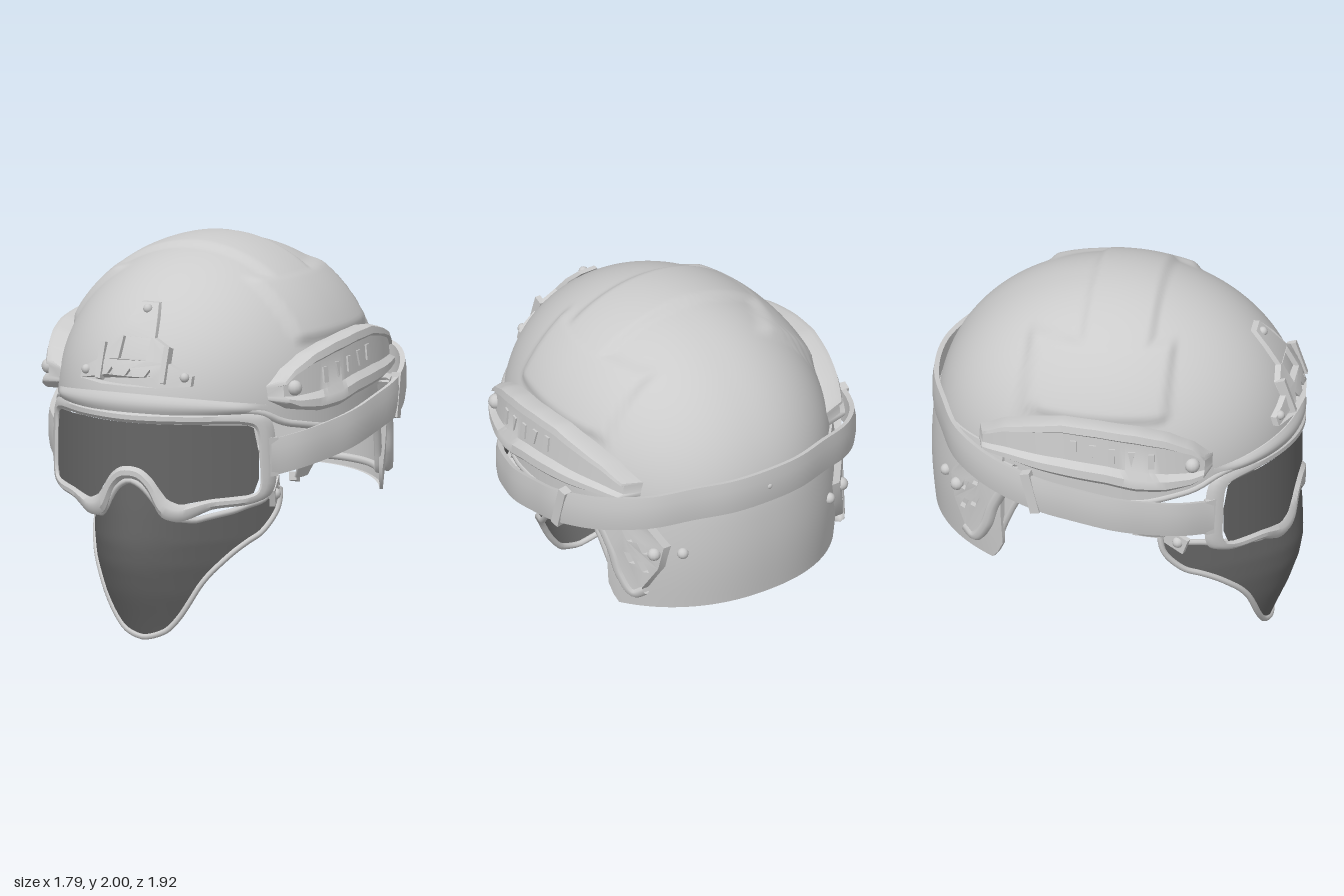
import * as THREE from 'three';
import { toCreasedNormals } from 'three/addons/utils/BufferGeometryUtils.js';

const GREY = new THREE.MeshStandardMaterial({ color: 0xcccccc, side: THREE.DoubleSide });
const DARK = new THREE.MeshStandardMaterial({ color: 0x666666, side: THREE.DoubleSide });
const V = (x, y, z) => new THREE.Vector3(x, y, z);
const RAD = Math.PI / 180;
const { lerp, smoothstep: step } = THREE.MathUtils;

// piecewise-linear lookup in [[key, value], ...]
function table(rows, k) {
  for (let i = 1; i < rows.length; i++) {
    const [a, p] = rows[i - 1], [b, q] = rows[i];
    if (k <= b) return p + (q - p) * Math.max(0, (k - a) / (b - a));
  }
  return rows[rows.length - 1][1];
}

// surface from f(u, v), u and v in 0..1
function grid(f, nu, nv, crease = 0.7) {
  const pos = [], idx = [];
  for (let i = 0; i <= nu; i++) for (let j = 0; j <= nv; j++) pos.push(...f(i / nu, j / nv).toArray());
  for (let i = 0; i < nu; i++) for (let j = 0; j < nv; j++) {
    const a = i * (nv + 1) + j, b = a + nv + 1;
    idx.push(a, b, a + 1, b, b + 1, a + 1);
  }
  const g = new THREE.BufferGeometry();
  g.setAttribute('position', new THREE.Float32BufferAttribute(pos, 3));
  g.setIndex(idx);
  return toCreasedNormals(g, crease);
}

// helmet body: dome above y = 1.2, straight wall below; the plan is round in front and squarer behind
const A = 0.77, C = 0.93, H = 0.78, Y0 = 1.2, BACK = 2.2;
function plan(az) {
  const e = Math.cos(az) < 0 ? 2 / BACK : 1, s = Math.sin(az), c = Math.cos(az);
  return [Math.sign(s) * Math.abs(s) ** e, Math.sign(c) * Math.abs(c) ** e];
}
const planX = (z, c) => {
  const n = z < 0 ? BACK : 2;
  return Math.max(0, 1 - (Math.abs(z) / c) ** n) ** (1 / n);
};
const scaleAt = y => y > Y0 ? Math.sqrt(Math.max(0, 1 - ((y - Y0) / H) ** 2)) : 1;
function body(az, y, off = 0) {
  const r = scaleAt(y), [px, pz] = plan(az);
  return V((A + off) * r * px, y, (C + off) * r * pz);
}
const shellX = (z, y) => A * scaleAt(y) * planX(z, C * scaleAt(y));
const frontZ = (x, y) => C * Math.sqrt(Math.max(0, 1 - ((y - Y0) / H) ** 2 - (x / A) ** 2));
const EDGE = [[0, 1.22], [40, 1.22], [50, 1.2], [58, 1.14], [75, 1.09], [95, 1.1], [111, 1.12], [118, 0.95], [123, 0.74], [180, 0.72]];
const edgeY = az => table(EDGE, Math.abs(az) / RAD);

// raised plate on the body: the outer ring drops back to the shell
function pad(az0, az1, yLow, yHigh, off, nu, nv) {
  const clampRing = (t, n) => Math.min(1, Math.max(0, (t * n - 1) / (n - 2)));
  return grid((u, v) => {
    const ring = u === 0 || u === 1 || v === 0 || v === 1;
    const s = clampRing(u, nu), t = clampRing(v, nv);
    return body(lerp(az0, az1, s), lerp(yLow(s), yHigh(s), t), ring ? -0.005 : off(s, t));
  }, nu, nv);
}

// extruded outline with holes, each vertex then placed by place(a, b, depth)
function plate(points, holes, depth, place) {
  const shape = new THREE.Shape(points.map(p => new THREE.Vector2(...p)));
  for (const h of holes) shape.holes.push(new THREE.Path(h.map(p => new THREE.Vector2(...p))));
  const g = new THREE.ExtrudeGeometry(shape, { depth, bevelEnabled: false });
  const p = g.attributes.position;
  for (let i = 0; i < p.count; i++) p.setXYZ(i, ...place(p.getX(i), p.getY(i), p.getZ(i)).toArray());
  return toCreasedNormals(g, 0.6);
}

const tube = (pts, r, closed = false, n = 60) =>
  new THREE.TubeGeometry(new THREE.CatmullRomCurve3(pts, closed), n, r, 8, closed);
const rect = (a, b, w, h, lean = 0) => [[a - w - lean, b - h], [a + w - lean, b - h], [a + w + lean, b + h], [a - w + lean, b + h]];
const tri = (a, b, w, h) => [[a - w, b - h], [a + w, b - h], [a, b + h]];

export function createModel() {
  const group = new THREE.Group();
  const add = (name, geo, mat = GREY) => {
    const m = new THREE.Mesh(geo, mat);
    m.name = name;
    group.add(m);
    return m;
  };
  const pair = (name, geo, mat) => {
    add(name + 'Left', geo, mat);
    add(name + 'Right', geo, mat).scale.x = -1;
  };
  const bolt = (name, { x, y, z }, r = 0.03) => {
    const g = new THREE.SphereGeometry(r, 12, 8).translate(x, y, z);
    if (x) pair(name, g); else add(name, g);
  };
  const block = (w, h, d, x, y, z, rx = 0, ry = 0) =>
    new THREE.BoxGeometry(w, h, d).rotateX(rx).rotateY(ry).translate(x, y, z);

  // shell with raised crown bar and side pads
  const within = (t, a, b, s) => step(t, a - s, a) * (1 - step(t, b, b + s));
  add('shell', grid((u, v) => {
    const az = (u * 2 - 1) * Math.PI, e = edgeY(az), [px, pz] = plan(az);
    const end = e > Y0 ? Math.acos((e - Y0) / H) : Math.PI / 2 + (Y0 - e) / H;
    const phi = v * end, low = phi > Math.PI / 2;
    const r = low ? 1 : Math.sin(phi), y = low ? Y0 - (phi - Math.PI / 2) * H : Y0 + H * Math.cos(phi);
    const p = V(A * r * px, y, C * r * pz);
    const bar = within(p.z, -0.1, 0.19, 0.06) * within(Math.abs(p.x), -1, 0.54, 0.06);
    const side = within(p.z, -0.37, 0.3, 0.06) * within(p.y, 1.56, 1.8, 0.06);
    const k = Math.max(0.022 * bar, 0.025 * side);
    return p.add(V(p.x / A, (p.y - Y0) / H, p.z / C).multiplyScalar(k));
  }, 160, 80, 1.2));
  const rimPts = [];
  for (let d = -180; d < 180; d += 4) rimPts.push(body(d * RAD, edgeY(d * RAD), -0.01));
  add('shellRim', tube(rimPts, 0.02, true, 140));
  add('brim', pad(-52 * RAD, 52 * RAD, () => 1.2, s => lerp(1.24, 1.3, Math.sin(Math.PI * s)),
    (s, t) => (0.006 + 0.016 * Math.sin(Math.PI * t)) * within(s, 0.12, 0.88, 0.12), 44, 8));

  // neck guard with rounded lower corners
  add('neckGuard', pad(120 * RAD, 240 * RAD, s => lerp(0.74, lerp(0.635, 0.68, Math.sin(Math.PI * s)), within(s, 0.03, 0.97, 0.03)), () => 1.3,
    (s, t) => 0.012 + 0.02 * Math.sin(Math.PI * t), 60, 14));
  bolt('neckGuardBolt', body(148 * RAD, 1.01, 0.035));

  // side rails: ridged cross-section swept front to back, closed against the shell
  const railX = (z, y) => 0.795 * planX(z, 0.97) + (1.5 - y) * 0.09;
  const railTop = [[-0.64, 1.38], [-0.5, 1.47], [-0.35, 1.52], [-0.18, 1.56], [0, 1.555], [0.2, 1.53], [0.35, 1.49], [0.48, 1.42], [0.57, 1.33]];
  const railLow = [[-0.64, 1.3], [-0.45, 1.29], [-0.3, 1.27], [-0.1, 1.25], [0.05, 1.235], [0.2, 1.2], [0.35, 1.19], [0.48, 1.21], [0.57, 1.26]];
  const profile = [[null, 0], [0.01, 0], [0.035, 0.08], [0.035, 0.22], [0.005, 0.32], [0.005, 0.8], [0.025, 0.85], [0.02, 0.97], [-0.01, 1], [null, 0.95]];
  pair('rail', grid((u, v) => {
    const z = lerp(-0.64, 0.57, u), [d, h] = profile[Math.round(v * 9)];
    const y = lerp(table(railLow, z), table(railTop, z), h);
    return V(d === null || u === 0 || u === 1 ? shellX(z, y) - 0.005 : railX(z, y) + d, y, z);
  }, 40, 9));
  [0.28, 0.18, 0.08, -0.02, -0.12].forEach((z, i) => {
    const y = 1.365 + i * 0.015;
    pair('railSlot', plate(i % 2 ? tri(z, y, 0.018, -0.04) : rect(z, y, 0.016, 0.04), [], 0.015, (a, b, d) => V(railX(a, b) + d, b, a)));
  });
  bolt('railBolt', V(railX(0.48, 1.32) + 0.005, 1.32, 0.48), 0.04);

  // slotted plates behind the ears
  const earX = z => 0.765 * planX(z, 0.97);
  const ear = [[-0.42, 1.22], [-0.49, 1.1], [-0.55, 0.97], [-0.59, 0.84], [-0.65, 0.75], [-0.7, 0.78], [-0.77, 0.92], [-0.79, 1.05], [-0.7, 1.2], [-0.56, 1.24]];
  const slits = [[-0.64, 1.09], [-0.71, 1.03], [-0.65, 0.96], [-0.71, 0.92]].map(([z, y]) => rect(z, y, 0.014, 0.03, 0.012));
  pair('earPlate', plate(ear, slits, 0.06, (z, y, d) => V(earX(z) + d, y, z)));
  pair('earPlateEdge', tube(ear.slice(0, 6).map(([z, y]) => V(earX(z) + 0.03, y, z)), 0.035));
  bolt('earPlateBolt', V(earX(-0.755) + 0.06, 1.01, -0.755), 0.035);

  // front mount
  const mount = [[-0.32, 1.35], [-0.16, 1.34], [0, 1.34], [0.16, 1.34], [0.32, 1.35], [0.32, 1.4], [0.26, 1.43], [0.2, 1.46], [0.19, 1.53], [0.1, 1.58],
    [0.08, 1.67], [0.05, 1.74], [-0.05, 1.74], [-0.08, 1.67], [-0.1, 1.58], [-0.19, 1.53], [-0.2, 1.46], [-0.26, 1.43], [-0.32, 1.4]];
  add('frontMount', plate(mount, [rect(0, 1.525, 0.08, 0.055), ...[-0.11, 0, 0.11].map(x => tri(x, 1.41, 0.025, 0.02))],
    0.03, (x, y, d) => V(x, y, frontZ(x, y) + 0.01 + d)));
  pair('mountPost', block(0.03, 0.19, 0.05, 0.185, 1.45, frontZ(0.185, 1.45) + 0.03, -0.32));
  bolt('mountTopBolt', V(0, 1.71, frontZ(0, 1.71) + 0.03), 0.025);
  bolt('mountSideBolt', V(0.285, 1.395, frontZ(0.285, 1.395) + 0.035), 0.025);

  // goggles: frame lofted between two outlines, bent around the face
  const gogZ = x => 0.95 - 0.91 * x * x;
  const outer = [[0, 1.21], [0.3, 1.21], [0.55, 1.2], [0.61, 1.17], [0.635, 0.97], [0.62, 0.78], [0.56, 0.735], [0.4, 0.71], [0.26, 0.65], [0.17, 0.67], [0.1, 0.8], [0.05, 0.85], [0, 0.86]];
  const inner = [[0, 1.15], [0.3, 1.15], [0.54, 1.14], [0.57, 1.12], [0.585, 0.97], [0.58, 0.8], [0.55, 0.78], [0.4, 0.765], [0.26, 0.735], [0.2, 0.76], [0.12, 0.87], [0.06, 0.915], [0, 0.925]];
  const loop = pts => new THREE.CatmullRomCurve3(
    [...pts, ...pts.slice(1, -1).reverse().map(([x, y]) => [-x, y])].map(([x, y]) => V(x, y, 0)), true);
  const oCurve = loop(outer), iCurve = loop(inner);
  const section = [[0, -0.05], [0, -0.02], [0.3, 0], [0.7, 0], [1, -0.02], [1, -0.05], [0, -0.05]];
  add('goggleFrame', grid((u, v) => {
    const [w, d] = section[Math.round(v * 6)];
    const p = oCurve.getPoint(u).lerp(iCurve.getPoint(u), w);
    return p.setZ(gogZ(p.x) + d);
  }, 144, 6));
  const lensTop = inner.slice(0, 5), lensLow = [...inner.slice(5).reverse(), [0.585, 0.9]];
  add('lens', grid((u, v) => {
    const x = (u * 2 - 1) * 0.583, k = Math.abs(x);
    return V(x, lerp(table(lensLow, k), table(lensTop, k), v), gogZ(x) - 0.02);
  }, 60, 6, 1.2), DARK);

  // face mask with a light rim
  const maskTop = [[0, 0.85], [0.06, 0.83], [0.11, 0.77], [0.18, 0.66], [0.28, 0.64], [0.4, 0.67], [0.48, 0.71], [0.52, 0.77]];
  const maskLow = [[0, 0.02], [0.06, 0.03], [0.12, 0.06], [0.18, 0.12], [0.24, 0.22], [0.3, 0.33], [0.4, 0.46], [0.48, 0.55], [0.52, 0.67]];
  const noseZ = [[0, 0.765], [0.1, 0.805], [0.25, 0.87], [0.4, 0.92], [0.52, 0.94], [0.7, 0.935], [0.9, 0.92]];
  const maskAt = (x, v) => {
    const y = lerp(table(maskLow, Math.abs(x)), table(maskTop, Math.abs(x)), v);
    return V(x, y, table(noseZ, y) - 2.35 * x * x);
  };
  add('faceMask', grid((u, v) => maskAt((u * 2 - 1) * 0.52, v), 52, 20, 1.2), DARK);
  const maskRim = [];
  for (let i = -13; i <= 13; i++) maskRim.push(maskAt(i * 0.04, 0));
  for (let i = 13; i >= -13; i--) maskRim.push(maskAt(i * 0.04, 1));
  add('maskRim', tube(maskRim, 0.016, true, 160));

  // mask clips and their hangers
  pair('maskTab', block(0.03, 0.09, 0.17, 0.525, 0.755, 0.35, 0.35, 0.35));
  bolt('maskTabBolt', V(0.545, 0.745, 0.38));
  pair('maskHook', block(0.04, 0.045, 0.17, 0.575, 0.815, 0.23, -0.2, 0.4));
  pair('hanger', new THREE.CylinderGeometry(0.13, 0.07, 0.22, 20).scale(0.2, 1, 1).rotateZ(-0.4).translate(0.67, 0.93, 0.25));

  // goggle strap around the back
  const half = [[0.62, 0.965, 0.57], [0.73, 1.0, 0.42], [0.8, 1.035, 0.25], [0.845, 1.07, 0.1], [0.865, 1.12, -0.1], [0.868, 1.17, -0.3],
    [0.79, 1.22, -0.53], [0.69, 1.26, -0.68], [0.58, 1.28, -0.77], [0.4, 1.305, -0.85], [0.2, 1.315, -0.92]].map(p => V(...p));
  const path = new THREE.CatmullRomCurve3([...half, V(0, 1.32, -0.94), ...half.slice().reverse().map(p => V(-p.x, p.y, p.z))]);
  const band = [[-0.015, -0.09], [0.01, -0.095], [0.018, -0.04], [0.018, 0.04], [0.01, 0.095], [-0.015, 0.09], [-0.015, -0.09]];
  add('strap', grid((u, v) => {
    const p = path.getPoint(u), t = path.getTangent(u), [d, h] = band[Math.round(v * 6)];
    const out = V(t.z, 0, -t.x).normalize().multiplyScalar(-d);
    return p.add(out).add(V(0, h, 0));
  }, 100, 6));
  pair('strapBuckle', block(0.05, 0.23, 0.05, 0.86, 1.175, -0.33, -0.25, 0.15));
  pair('strapAnchor', block(0.03, 0.2, 0.06, 0.625, 0.97, 0.56, 0, -0.6));
  bolt('strapStud', V(0, 1.32, -0.945), 0.02);

  return group;
}
